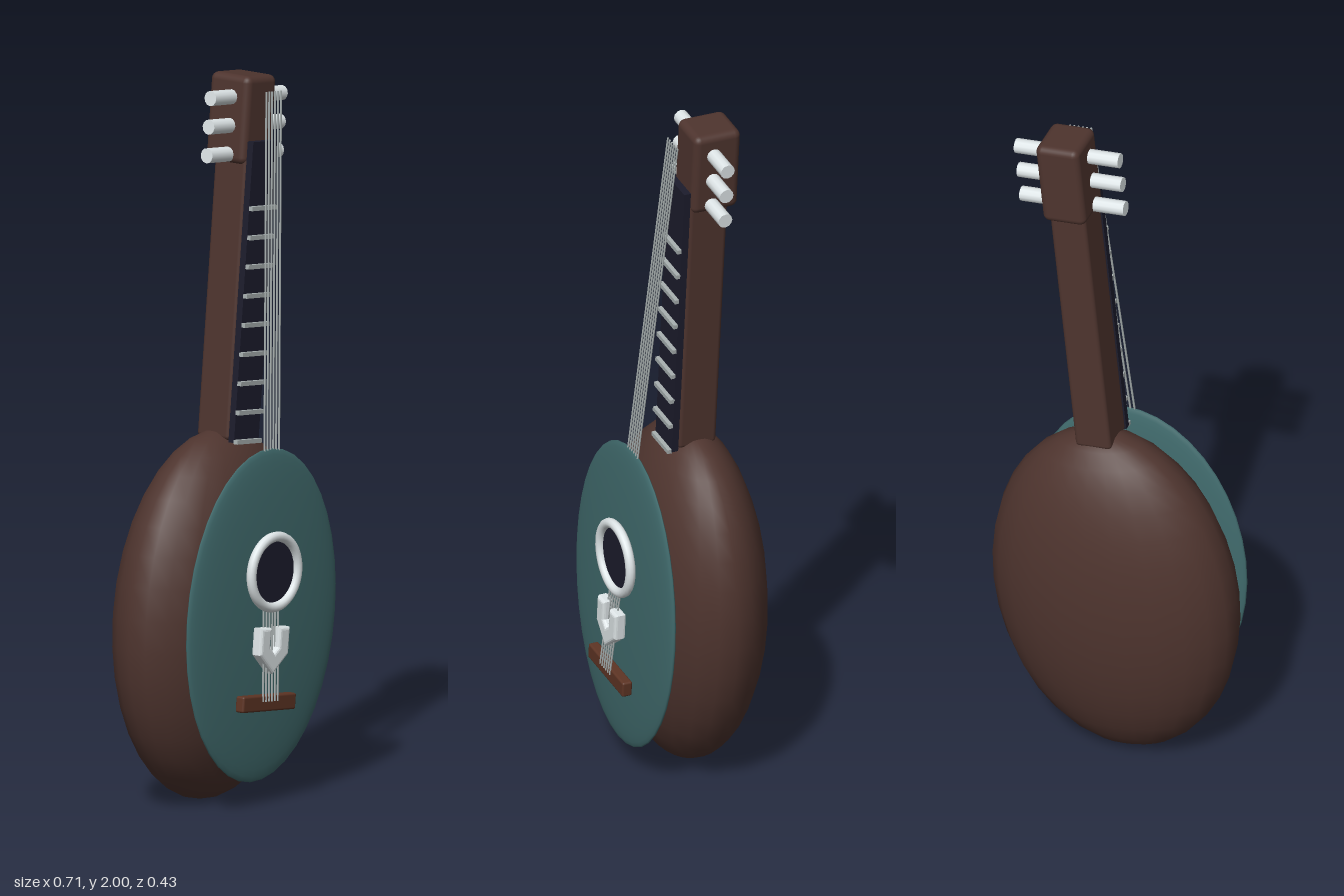
import * as THREE from 'three';
import { RoundedBoxGeometry } from 'three/addons/geometries/RoundedBoxGeometry.js';

const mat = (name, color) => {
  const m = new THREE.MeshStandardMaterial({ color });
  m.name = name;
  return m;
};

export function createModel() {
  const brown = mat('dark wood', 0x4e342e);
  const teal = mat('teal soundboard', 0x406a6c);
  const dark = mat('ebony', 0x1c1c2c);
  const white = mat('ivory', 0xdfe6e8);
  const steel = mat('steel', 0xa6aeae);
  const red = mat('bridge wood', 0x5d3424);

  // Everything sits on the long axis of the instrument, which leans to one side
  const model = new THREE.Group();
  model.name = 'lute';
  const lute = new THREE.Group();
  lute.name = 'leaningInstrument';
  lute.position.set(-0.001, 0.513, 0);
  lute.rotation.z = -0.1;
  model.add(lute);

  const add = (name, geometry, material, x, y, z) => {
    const mesh = new THREE.Mesh(geometry, material);
    mesh.name = name;
    mesh.position.set(x, y, z);
    lute.add(mesh);
    return mesh;
  };

  // Bowl and lens-shaped soundboard
  add('body', new THREE.SphereGeometry(1, 24, 18).scale(0.355, 0.512, 0.195), brown, 0, 0, -0.02);
  add('soundboard', new THREE.SphereGeometry(1, 40, 24).rotateX(Math.PI / 2).scale(0.316, 0.461, 0.028),
    teal, 0, 0.016, 0.153);

  // Sound hole with its ring
  add('soundHole', new THREE.CylinderGeometry(0.092, 0.092, 0.008, 32).rotateX(Math.PI / 2), dark, 0, 0.14, 0.185);
  add('soundHoleRing', new THREE.TorusGeometry(0.098, 0.014, 12, 40), white, 0, 0.14, 0.191);

  // Bridge and U-shaped string holder
  add('bridge', new RoundedBoxGeometry(0.226, 0.045, 0.03, 2, 0.006), red, 0, -0.22, 0.19);
  const half = [[0.052, 0.054], [0.052, -0.008], [0, -0.054], [-0.052, -0.008], [-0.052, 0.054],
    [-0.026, 0.054], [-0.026, 0.004], [0, -0.018], [0.026, 0.004], [0.026, 0.054]];
  const holder = new THREE.Shape(half.map(([x, y]) => new THREE.Vector2(x, y)));
  add('stringHolder', new THREE.ExtrudeGeometry(holder, {
    depth: 0.018, bevelThickness: 0.009, bevelSize: 0.009, bevelSegments: 3,
  }), white, 0, -0.074, 0.185);

  // Neck, fingerboard and headstock
  add('neck', new RoundedBoxGeometry(0.105, 0.79, 0.115, 2, 0.012), brown, 0, 0.88, -0.016);
  add('fingerboard', new THREE.BoxGeometry(0.105, 0.83, 0.02), dark, 0, 0.897, 0.052);
  add('headstock', new RoundedBoxGeometry(0.127, 0.245, 0.14, 3, 0.02), brown, 0, 1.367, -0.03);

  // Frets
  for (let i = 0; i < 9; i++) {
    add('fret', new THREE.BoxGeometry(0.105, 0.012, 0.014), steel, 0, 0.485 + i * 0.0805, 0.067);
  }

  // Tuning pegs, one on each side in three rows
  for (const y of [1.27, 1.349, 1.428]) {
    for (const side of [-1, 1]) {
      add('tuningPeg', new THREE.CylinderGeometry(0.021, 0.021, 0.105, 12).rotateZ(Math.PI / 2),
        white, side * 0.101, y, -0.017);
    }
  }

  // Six strings, sloping from the bridge up to the headstock
  const low = new THREE.Vector2(-0.215, 0.206), high = new THREE.Vector2(1.452, 0.079);
  const span = high.clone().sub(low);
  for (let i = 0; i < 6; i++) {
    const string = add('string', new THREE.CylinderGeometry(0.003, 0.003, span.length(), 6), steel,
      (i - 2.5) * 0.0125, (low.x + high.x) / 2, (low.y + high.y) / 2);
    string.rotation.x = Math.atan2(span.y, span.x);
  }

  return model;
}
